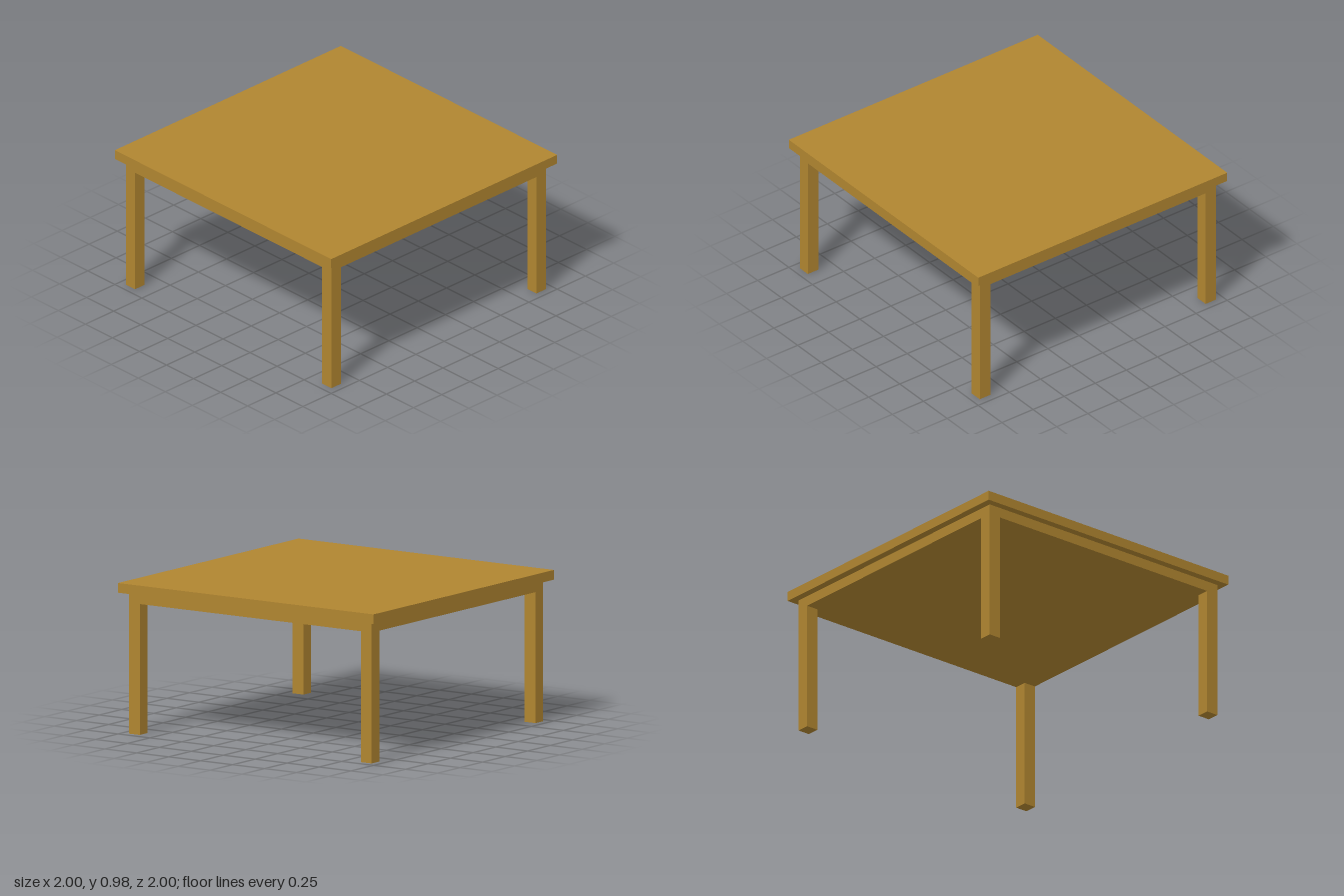
import * as THREE from 'three';

export function createModel() {
  const model = new THREE.Group();
  const wood = new THREE.MeshStandardMaterial({ color: 0xb08530 });

  // Square block of a given width, spanning bottom to top
  function block(name, width, bottom, top, x = 0, z = 0) {
    const mesh = new THREE.Mesh(new THREE.BoxGeometry(width, top - bottom, width), wood);
    mesh.name = name;
    mesh.position.set(x, (bottom + top) / 2, z);
    model.add(mesh);
  }

  // Table top with the narrower apron block beneath it
  block('tableTop', 2, 0.917, 0.98);
  block('apron', 1.9, 0.85, 0.917);

  // Four square legs, flush with the apron corners
  const legWidth = 0.085;
  const offset = 0.95 - legWidth / 2;
  for (const [zName, z] of [['front', offset], ['back', -offset]]) {
    for (const [xName, x] of [['Left', offset], ['Right', -offset]]) {
      block(`${zName}${xName}Leg`, legWidth, 0, 0.85, x, z);
    }
  }
  return model;
}
